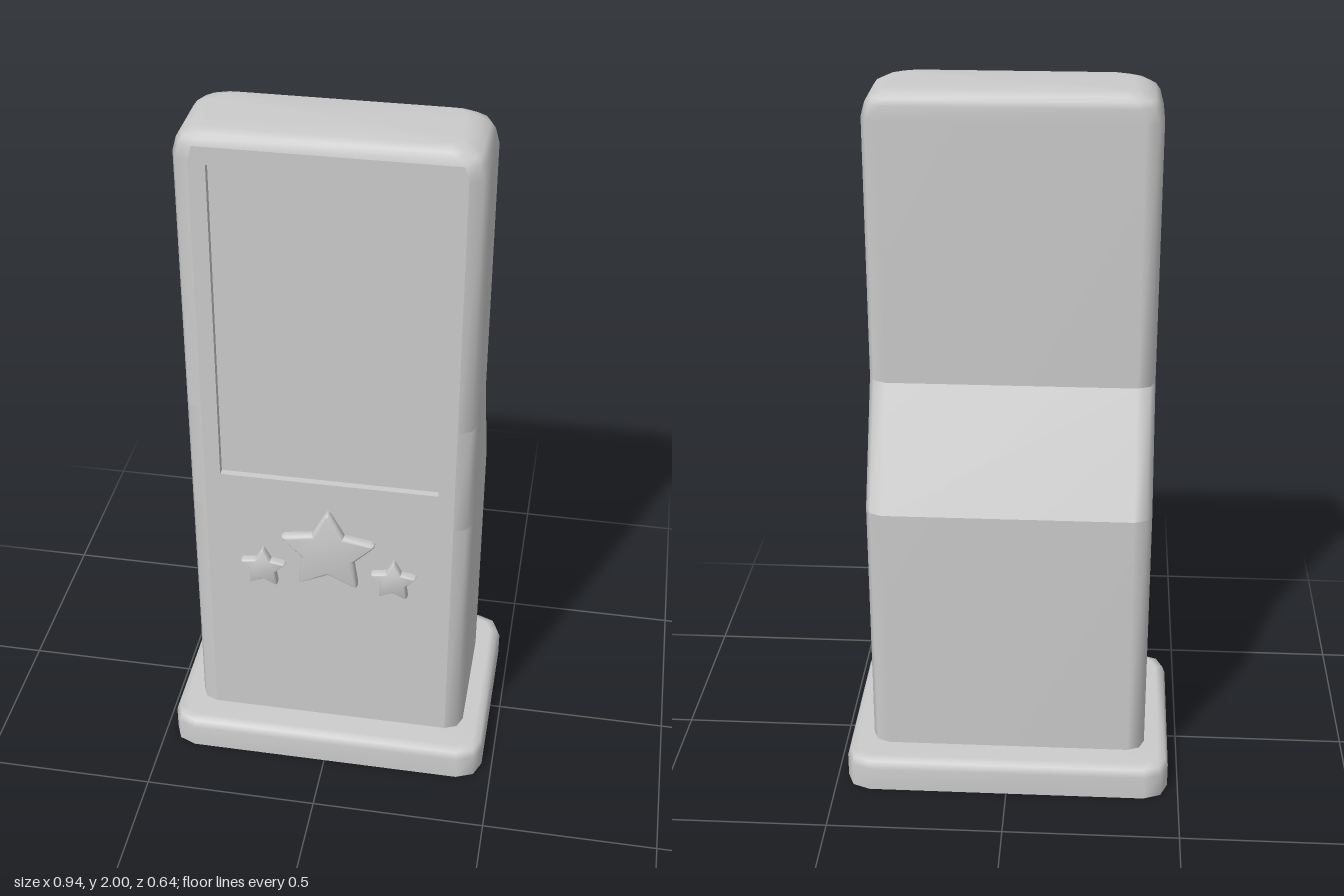
import * as THREE from 'three';
import { toCreasedNormals } from 'three/addons/utils/BufferGeometryUtils.js';

const material = new THREE.MeshStandardMaterial({ color: 0xcccccc });
const FRONT = 0.225; // z of the flat front face

function add(parent, name, geometry) {
  const mesh = new THREE.Mesh(geometry, material);
  mesh.name = name;
  parent.add(mesh);
  return mesh;
}

// Rounded rectangle in plan, two segments per corner, starting at the front
function ringPoints({ hx, zf, zb, r }) {
  const points = [];
  const corners = [[hx - r, zf - r], [hx - r, zb + r], [-hx + r, zb + r], [-hx + r, zf - r]];
  corners.forEach(([cx, cz], c) => {
    for (let s = 0; s <= 2; s++) {
      const a = (c + s / 2) * Math.PI / 2;
      points.push([cx + r * Math.sin(a), cz + r * Math.cos(a)]);
    }
  });
  return points;
}

// Skin stacked rings; the strip lying in the front face is left to the front panel
function loft(rings, capTop = false) {
  const positions = [], index = [], n = 12;
  rings.forEach(ring => ringPoints(ring).forEach(([x, z]) => positions.push(x, ring.y, z)));
  for (let k = 0; k < rings.length - 1; k++) {
    const open = rings[k].zf === FRONT && rings[k + 1].zf === FRONT;
    for (let i = 0; i < (open ? n - 1 : n); i++) {
      const a = k * n + i, b = k * n + (i + 1) % n;
      index.push(a, b, b + n, a, b + n, a + n);
    }
  }
  if (capTop) {
    const last = rings[rings.length - 1], start = (rings.length - 1) * n;
    positions.push(0, last.y, (last.zf + last.zb) / 2);
    for (let i = 0; i < n; i++) index.push(start + i, start + (i + 1) % n, start + n);
  }
  const geometry = new THREE.BufferGeometry();
  geometry.setAttribute('position', new THREE.Float32BufferAttribute(positions, 3));
  geometry.setIndex(index);
  geometry.computeVertexNormals();
  return geometry;
}

const bodyRing = (y, zb, hx = 0.4, inset = 0) =>
  ({ y, hx, zf: FRONT - inset, zb: zb + inset, r: 0.05 });
const baseRing = (y, inset = 0) =>
  ({ y, hx: 0.47 - inset, zf: 0.322 - inset, zb: -0.322 + inset, r: 0.07 - inset * 0.5 });

// Five-pointed star with rounded tips, centred on the origin
function starGeometry() {
  const shape = new THREE.Shape();
  const polar = (radius, step) => new THREE.Vector2(
    -radius * Math.sin(step * Math.PI / 5), radius * Math.cos(step * Math.PI / 5));
  for (let i = 0; i < 5; i++) {
    const tip = polar(0.15, 2 * i);
    const before = polar(0.078, 2 * i - 1), after = polar(0.078, 2 * i + 1);
    const p = before.clone().lerp(tip, 0.78), q = after.clone().lerp(tip, 0.78);
    if (i === 0) shape.moveTo(before.x, before.y);
    else shape.lineTo(before.x, before.y);
    shape.lineTo(p.x, p.y);
    shape.quadraticCurveTo(tip.x, tip.y, q.x, q.y);
  }
  shape.closePath();
  const geometry = new THREE.ExtrudeGeometry(shape, {
    depth: 0.01, bevelThickness: 0.015, bevelSize: 0.012, bevelOffset: -0.012,
    bevelSegments: 3, curveSegments: 4,
  });
  return toCreasedNormals(geometry, 0.7);
}

export function createModel() {
  const model = new THREE.Group();
  model.name = 'kiosk';

  // Base plinth with rounded top edge and flat underside
  const base = new THREE.Group();
  base.name = 'base';
  model.add(base);
  add(base, 'plinth', loft([baseRing(0), baseRing(0.07), baseRing(0.092, 0.008), baseRing(0.1, 0.03)], true));
  const outline = ringPoints(baseRing(0)).map(([x, z]) => new THREE.Vector2(x, z));
  add(base, 'underside', new THREE.ShapeGeometry(new THREE.Shape(outline)).rotateX(Math.PI / 2));

  // Cabinet: deep lower part, sloping shoulder, slim upper part
  const body = new THREE.Group();
  body.name = 'body';
  model.add(body);
  const deep = -0.225, slim = -0.057;
  add(body, 'lowerCabinet', loft([bodyRing(0.09, deep), bodyRing(0.85, deep)]));
  add(body, 'backSlope', loft([bodyRing(0.85, deep), bodyRing(1.18, slim)]));
  add(body, 'upperCabinet', loft([
    bodyRing(1.18, slim),
    bodyRing(1.92, slim),
    bodyRing(1.96, slim, 0.389),
    bodyRing(1.977, slim, 0.377, 0.005),
    bodyRing(1.99, slim, 0.352, 0.014),
    bodyRing(2, slim, 0.32, 0.035),
  ], true));

  // Front panel with the screen opening, and the recessed screen
  const side = [[0.35, 0.09], [0.35, 1.92], [0.339, 1.96]];
  const panel = new THREE.Shape([
    ...side.map(([x, y]) => new THREE.Vector2(x, y)),
    ...side.slice().reverse().map(([x, y]) => new THREE.Vector2(-x, y)),
  ]);
  const sx = 0.305, low = 0.965, high = 1.912, recess = 0.02;
  panel.holes.push(new THREE.Path([
    new THREE.Vector2(-sx, low), new THREE.Vector2(-sx, high),
    new THREE.Vector2(sx, high), new THREE.Vector2(sx, low),
  ]));
  add(body, 'frontPanel', new THREE.ExtrudeGeometry(panel, { depth: recess, bevelEnabled: false }))
    .position.z = FRONT - recess;
  add(body, 'screen', new THREE.PlaneGeometry(2 * sx, high - low))
    .position.set(0, (low + high) / 2, FRONT - recess);

  // Raised stars: one large, two small
  const stars = new THREE.Group();
  stars.name = 'stars';
  model.add(stars);
  const star = starGeometry();
  const placements = [['largeStar', 0, 0.735, 1], ['leftStar', 0.188, 0.658, 0.48], ['rightStar', -0.188, 0.658, 0.48]];
  for (const [name, x, y, size] of placements) {
    const mesh = add(stars, name, star);
    mesh.position.set(x, y, 0.223);
    mesh.scale.set(size, size, 1);
  }
  return model;
}
